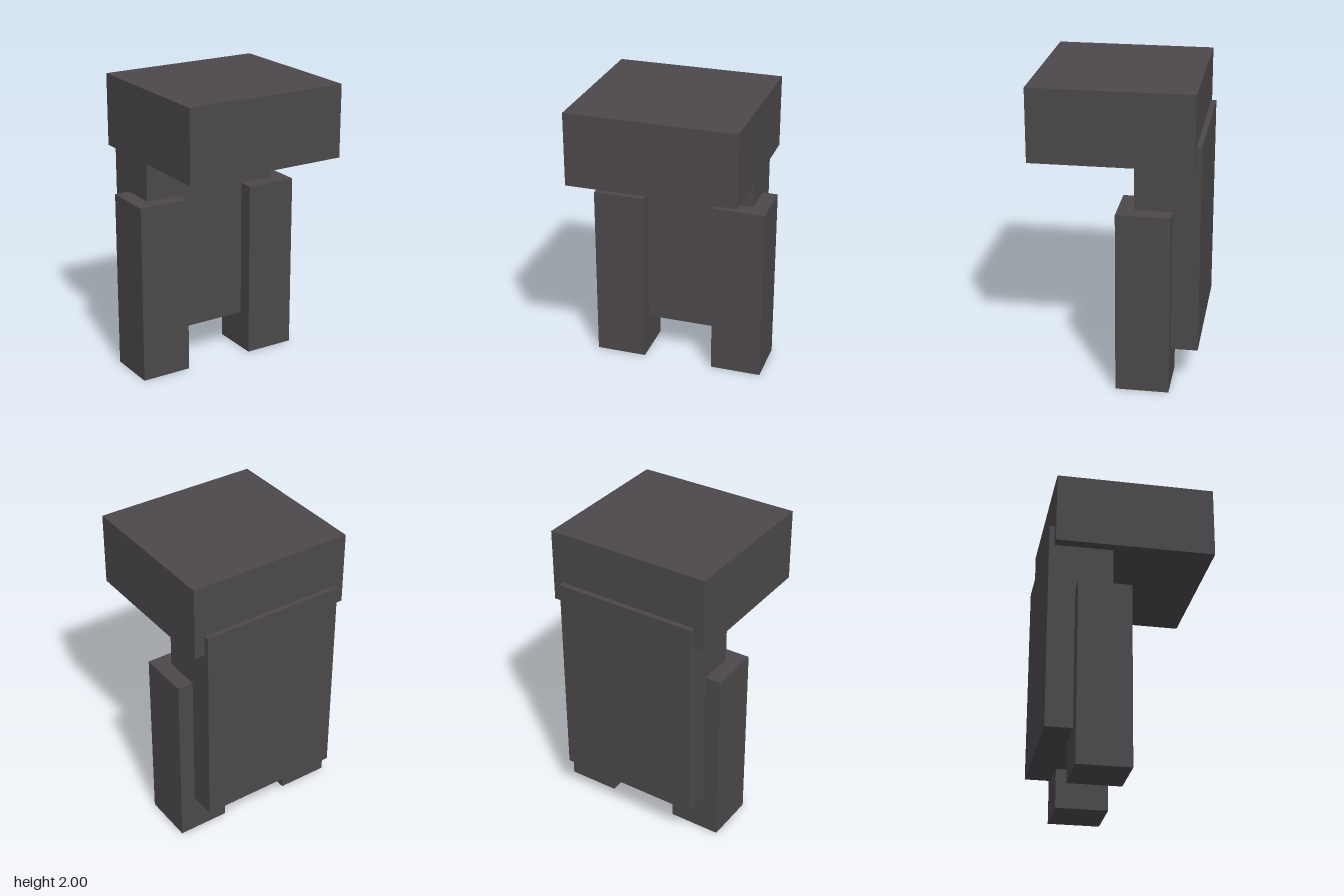
import * as THREE from 'three';

export function createModel() {
  const model = new THREE.Group();
  model.name = 'blockFigure';
  const charcoal = new THREE.MeshStandardMaterial({ color: 0x4c484b });
  charcoal.name = 'charcoal';

  // Box given by its lower and upper corners
  function block(name, [x0, y0, z0], [x1, y1, z1]) {
    const mesh = new THREE.Mesh(new THREE.BoxGeometry(x1 - x0, y1 - y0, z1 - z0), charcoal);
    mesh.position.set((x0 + x1) / 2, (y0 + y1) / 2, (z0 + z1) / 2);
    mesh.name = name;
    model.add(mesh);
  }

  // Overhanging head and the slab body behind it
  block('head', [-0.556, 1.518, -0.505], [0.556, 2, 0.54]);
  block('body', [-0.486, 0.265, -0.54], [0.486, 1.655, -0.121]);

  // Legs, set into the front corners of the body
  for (const [name, side] of [['leftLeg', 1], ['rightLeg', -1]]) {
    const cx = side * 0.417;
    block(name, [cx - 0.174, 0, -0.365], [cx + 0.174, 1.219, -0.018]);
  }
  return model;
}
